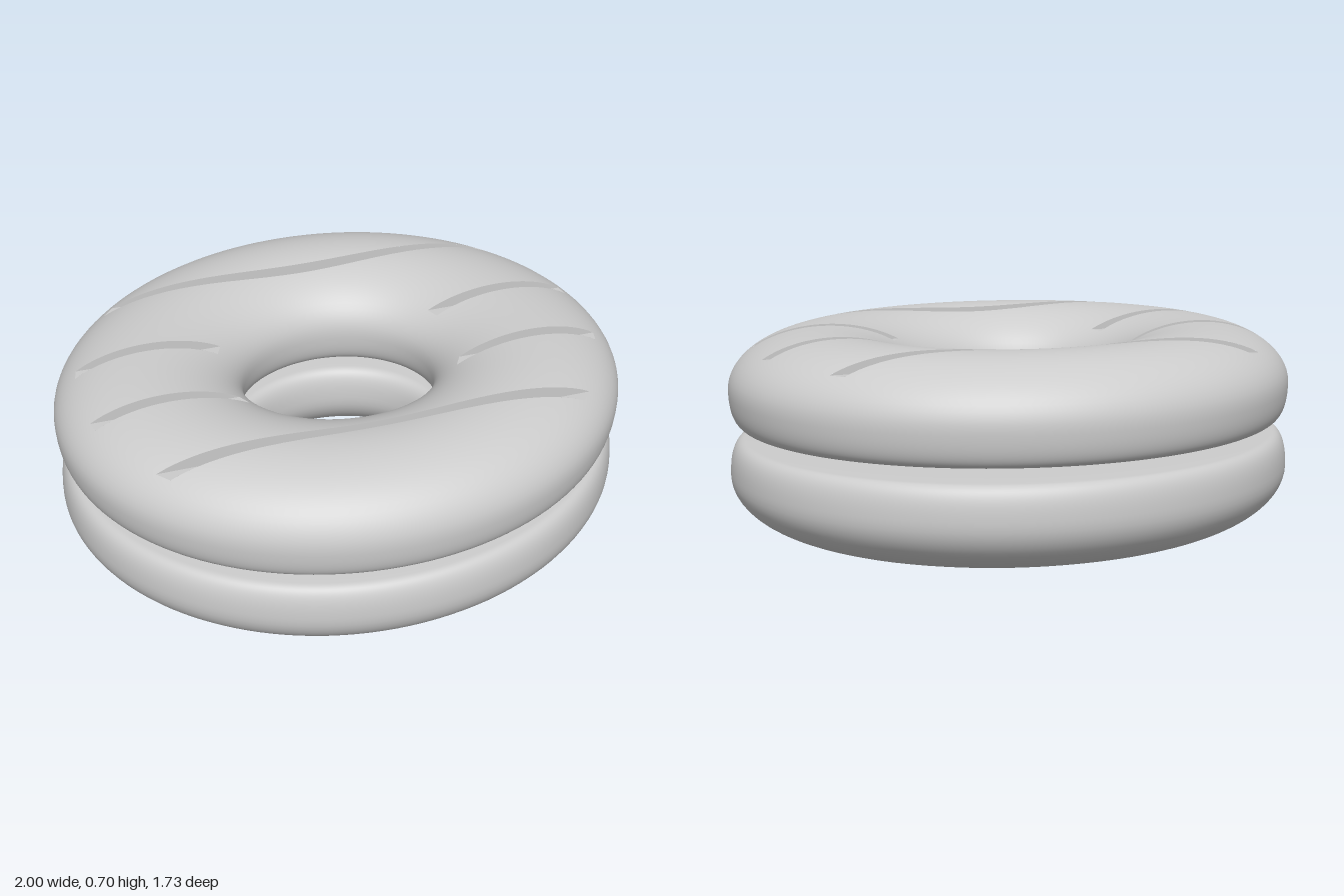
import * as THREE from 'three';

const ZS = 0.867;               // oval squash along z
const MID = 0.67, HALF = 0.33;  // ring centre radius and half width
const FLOOR = 0.635;            // height of the groove floors
const GROOVES = [-0.484, -0.138, 0.165, 0.481];
const GW = 0.021;               // half width of a groove

// Cross-section of the upper ring: flat underside, rounded rim, domed top
function ringProfile() {
  const p = new THREE.Path();
  p.moveTo(MID, 0.37);
  p.lineTo(0.85, 0.37);
  p.lineTo(0.94, 0.375);
  p.bezierCurveTo(0.98, 0.375, 1, 0.42, 1, 0.5);
  p.absellipse(MID, 0.5, HALF, 0.2, 0, Math.PI, false);
  p.bezierCurveTo(0.34, 0.42, 0.36, 0.375, 0.4, 0.375);
  p.lineTo(0.49, 0.37);
  p.lineTo(MID, 0.37);
  return p.getPoints(16);
}

function ringGeometry(points) {
  return new THREE.LatheGeometry(points, 128).scale(1, 1, ZS);
}

// Keep the part of a polygon on one side of an axis-aligned plane
function clip(poly, axis, value, sign) {
  const out = [];
  poly.forEach((a, i) => {
    const b = poly[(i + 1) % poly.length];
    const da = sign * (a[axis] - value), db = sign * (b[axis] - value);
    if (da >= 0) out.push(a);
    if ((da > 0 && db < 0) || (da < 0 && db > 0)) {
      const t = da / (da - db);
      out.push(a.map((v, k) => v + (b[k] - v) * t));
    }
  });
  return out;
}

// Remove everything above the floor inside one groove's slab
function cutGroove(polys, z) {
  const out = [];
  for (const p of polys) {
    const zs = p.map(v => v[2]);
    if (Math.max(...zs) <= z - GW || Math.min(...zs) >= z + GW || Math.max(...p.map(v => v[1])) <= FLOOR) {
      out.push(p);
      continue;
    }
    const inside = clip(clip(p, 2, z - GW, 1), 2, z + GW, -1);
    out.push(clip(p, 2, z - GW, -1), clip(p, 2, z + GW, 1), clip(inside, 1, FLOOR, -1));
  }
  return out.filter(p => p.length > 2);
}

function cutRing(geometry) {
  const g = geometry.toNonIndexed();
  const P = g.attributes.position, N = g.attributes.normal;
  const vertex = i => [P.getX(i), P.getY(i), P.getZ(i), N.getX(i), N.getY(i), N.getZ(i)];
  let polys = [];
  for (let i = 0; i < P.count; i += 3) polys.push([vertex(i), vertex(i + 1), vertex(i + 2)]);
  for (const z of GROOVES) polys = cutGroove(polys, z);
  const pos = [], nor = [];
  for (const p of polys)
    for (let i = 1; i < p.length - 1; i++)
      for (const v of [p[0], p[i], p[i + 1]]) {
        pos.push(v[0], v[1], v[2]);
        nor.push(v[3], v[4], v[5]);
      }
  const out = new THREE.BufferGeometry();
  out.setAttribute('position', new THREE.Float32BufferAttribute(pos, 3));
  out.setAttribute('normal', new THREE.Float32BufferAttribute(nor, 3));
  return out;
}

// Height of the domed top, and x where a circle of radius r crosses depth z
const domeHeight = (x, z) => {
  const d = (Math.hypot(x, z / ZS) - MID) / HALF;
  return Math.max(FLOOR, 0.5 + 0.2 * Math.sqrt(Math.max(0, 1 - d * d)));
};
const crossing = (r, z) => Math.sqrt(Math.max(0, r * r - (z / ZS) ** 2));

// Surface ruled between two curves
function ruled(a, b, n) {
  const pos = [];
  for (let i = 0; i < n; i++) {
    const a0 = a(i / n), a1 = a((i + 1) / n), b0 = b(i / n), b1 = b((i + 1) / n);
    pos.push(...a0, ...a1, ...b1, ...a0, ...b1, ...b0);
  }
  const g = new THREE.BufferGeometry();
  g.setAttribute('position', new THREE.Float32BufferAttribute(pos, 3));
  g.computeVertexNormals();
  return g;
}

export function createModel() {
  const group = new THREE.Group();
  const material = new THREE.MeshStandardMaterial({ color: 0xcccccc });
  const thin = new THREE.MeshStandardMaterial({ color: 0xcccccc, side: THREE.DoubleSide });
  const add = (name, geometry, mat) => {
    const mesh = new THREE.Mesh(geometry, mat);
    mesh.name = name;
    group.add(mesh);
  };

  // Two mirrored halves with a narrow gap between them
  const profile = ringProfile();
  const flipped = profile.map(p => new THREE.Vector2(p.x, 0.7 - p.y)).reverse();
  add('lowerRing', ringGeometry(flipped), material);
  add('upperRing', cutRing(ringGeometry(profile)), material);

  // Floor and walls of each groove, split in two where the hole interrupts it
  const reach = HALF * Math.sqrt(1 - ((FLOOR - 0.5) / 0.2) ** 2);
  for (const z of GROOVES) {
    const spans = Math.abs(z) / ZS < MID - reach ? [[-1, MID - reach], [1, MID - reach]] : [[0, 0]];
    for (const [side, inner] of spans) {
      const xAt = (t, zz) => {
        const far = crossing(MID + reach, zz), near = crossing(inner, zz);
        if (side === 0) return -far + 2 * far * t;
        return side > 0 ? near + (far - near) * t : -far + (far - near) * t;
      };
      const low = zz => t => [xAt(t, zz), FLOOR, zz];
      const high = zz => t => [xAt(t, zz), domeHeight(xAt(t, zz), zz), zz];
      const back = z - GW, front = z + GW;
      add('grooveFloor', ruled(low(front), low(back), 48), thin);
      add('grooveBackWall', ruled(low(back), high(back), 48), thin);
      add('grooveFrontWall', ruled(high(front), low(front), 48), thin);
    }
  }
  return group;
}
